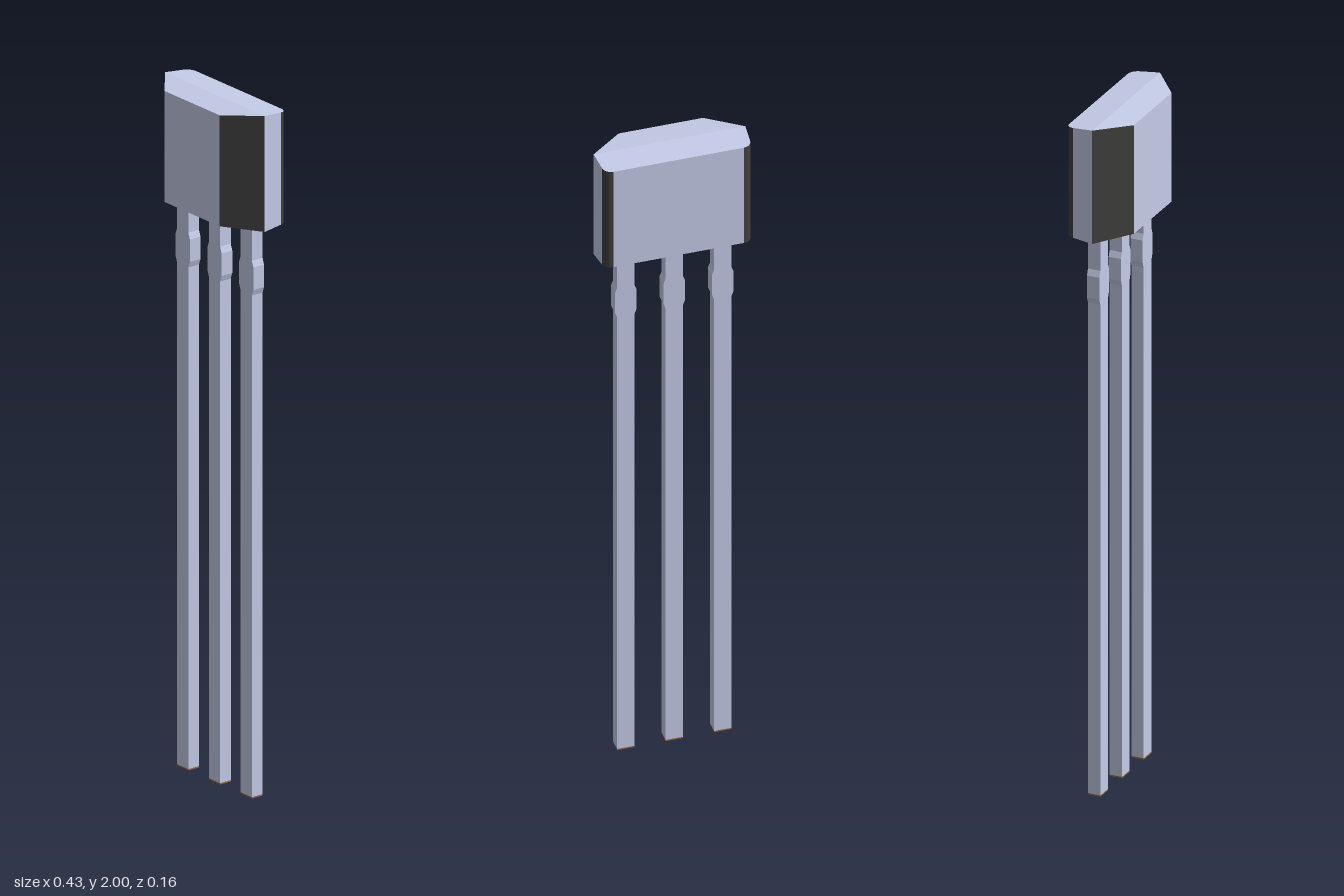
import * as THREE from 'three';

const plain = new THREE.MeshStandardMaterial({ color: 0xcad1ee });
plain.name = 'paleBlueGrey';
const dark = new THREE.MeshStandardMaterial({ color: 0x403f3e });
dark.name = 'darkMoulding';
const copper = new THREE.MeshStandardMaterial({ color: 0x9a6a3a });
copper.name = 'copper';

// Flat-shaded mesh from a list of convex polygons, corners counter-clockwise
function polygonMesh(name, polygons, material) {
  const pos = [];
  for (const p of polygons) {
    for (let i = 1; i < p.length - 1; i++) pos.push(...p[0], ...p[i], ...p[i + 1]);
  }
  const geo = new THREE.BufferGeometry();
  geo.setAttribute('position', new THREE.Float32BufferAttribute(pos, 3));
  geo.computeVertexNormals();
  const mesh = new THREE.Mesh(geo, material);
  mesh.name = name;
  return mesh;
}

// Moulded case: chamfered front, rounded back corners, slight draft from z = 0
function makeBody() {
  const ARC = 6;
  const right = [[0.12, 0.08], [0.216, 0]];
  for (let i = 0; i <= ARC; i++) {
    const a = THREE.MathUtils.degToRad(5 + 85 * i / ARC);
    right.push([0.186 + 0.025 * Math.cos(a), -0.058 - 0.025 * Math.sin(a)]);
  }
  const outline = [...right, ...right.map(([x, z]) => [-x, z]).reverse()];
  const n = outline.length;
  const top = ([x, z]) => [x, 2 - 0.09 * Math.abs(z), z];
  const bottom = ([x, z]) => [x, 1.663 + 0.09 * Math.abs(z), z];

  const light = [], trim = [];
  for (let i = 0; i < n; i++) {
    const a = outline[i], b = outline[(i + 1) % n];
    const side = Math.min(i, n - 2 - i); // same wall index on both halves
    const isTrim = i < n - 1 && (side === 0 || (side >= 2 && side < 2 + ARC));
    (isTrim ? trim : light).push([bottom(a), bottom(b), top(b), top(a)]);
  }
  // Sloping end caps, front half and back half
  const halves = [[outline[0], outline[1], outline[n - 2], outline[n - 1]], outline.slice(1, n - 1)];
  for (const half of halves) {
    light.push(half.map(top), half.map(bottom).reverse());
  }
  const body = new THREE.Group();
  body.name = 'body';
  body.add(polygonMesh('bodyFaces', light, plain), polygonMesh('bodyCorners', trim, dark));
  return body;
}

// Lead with a short widened stop and a bare copper cut end
function makeLead(name, x) {
  const w = 0.0245, s = 0.031, depth = 0.037, tip = 0.004;
  const right = [[w, tip], [w, 1.462], [s, 1.48], [s, 1.545], [w, 1.563], [w, 1.67]];
  const points = [...right, ...right.map(([px, py]) => [-px, py]).reverse()];
  const shape = new THREE.Shape(points.map(([px, py]) => new THREE.Vector2(px, py)));
  const pin = new THREE.Mesh(new THREE.ExtrudeGeometry(shape, { depth, bevelEnabled: false }), plain);
  pin.name = 'pin';
  pin.position.z = -depth;
  const end = new THREE.Mesh(new THREE.BoxGeometry(2 * w, tip, depth), copper);
  end.name = 'cutEnd';
  end.position.set(0, tip / 2, -depth / 2);
  const lead = new THREE.Group();
  lead.name = name;
  lead.position.x = x;
  lead.add(pin, end);
  return lead;
}

export function createModel() {
  const model = new THREE.Group();
  model.name = 'threeLeadComponent';
  model.add(makeBody());
  model.add(makeLead('rightLead', -0.14), makeLead('middleLead', -0.002), makeLead('leftLead', 0.136));
  return model;
}
